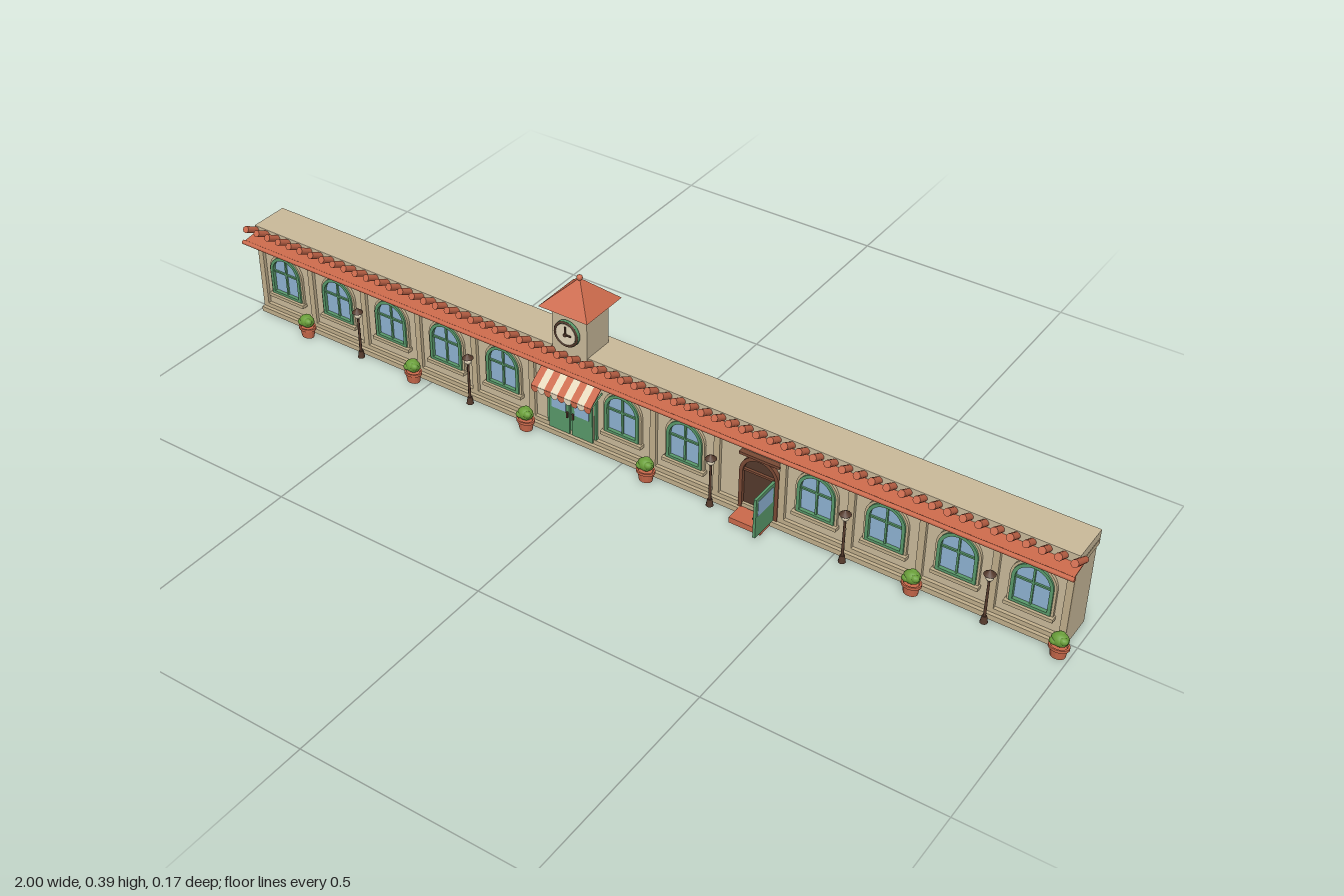
import * as THREE from 'three';

const mat = (name, color) => {
  const m = new THREE.MeshStandardMaterial({ color, side: THREE.DoubleSide });
  m.name = name;
  return m;
};

export function createModel() {
  const stucco = mat('stucco', 0xcbbb9b);
  const trim = mat('trim', 0xc2b08d);
  const terracotta = mat('terracotta', 0xcc6a4c);
  const green = mat('greenPaint', 0x5a9a6b);
  const glass = mat('glass', 0x8fb4d4);
  const brown = mat('darkBrown', 0x553a2c);
  const cream = mat('cream', 0xe6d9bd);
  const leaf = mat('leaf', 0x6a9f3a);
  const wood = mat('wood', 0x7a4a35);

  const root = new THREE.Group();
  root.name = 'arcadeBuilding';

  const add = (parent, name, geo, m, x = 0, y = 0, z = 0) => {
    const mesh = new THREE.Mesh(geo, m);
    mesh.name = name;
    mesh.position.set(x, y, z);
    parent.add(mesh);
    return mesh;
  };
  const group = (name, x = 0, y = 0, z = 0) => {
    const g = new THREE.Group();
    g.name = name;
    g.position.set(x, y, z);
    root.add(g);
    return g;
  };
  // Box given by its limits on each axis
  const box = (parent, name, m, x0, x1, y0, y1, z0, z1) =>
    add(parent, name, new THREE.BoxGeometry(x1 - x0, y1 - y0, z1 - z0), m,
      (x0 + x1) / 2, (y0 + y1) / 2, (z0 + z1) / 2);
  const cyl = (r0, r1, h, n = 16) => new THREE.CylinderGeometry(r0, r1, h, n);

  // Upright outline with a round head
  const arch = (Type, r, y0, spring) => {
    const s = new Type();
    s.moveTo(-r, y0);
    s.lineTo(r, y0);
    s.lineTo(r, spring);
    s.absarc(0, spring, r, 0, Math.PI, false);
    s.lineTo(-r, y0);
    return s;
  };
  const extrude = (shape, depth) =>
    new THREE.ExtrudeGeometry(shape, { depth, bevelEnabled: false, curveSegments: 12 });

  // Main walls
  const L = -0.992, R = 0.979, pitch = 0.1515;
  const walls = group('walls');
  box(walls, 'wall', stucco, L, R, 0, 0.19, -0.074, 0.006);
  box(walls, 'plinth', trim, L, R, 0, 0.012, -0.06, 0.022);
  box(walls, 'baseMoulding', trim, L, R, 0.012, 0.022, -0.06, 0.014);
  box(walls, 'cornice', trim, L - 0.003, R + 0.003, 0.187, 0.199, -0.078, 0.012);
  box(walls, 'corniceNeck', stucco, L, R, 0.198, 0.202, -0.075, 0.01);
  box(walls, 'parapet', stucco, L - 0.003, R + 0.003, 0.201, 0.22, -0.078, 0.012);
  for (let k = -1; k <= 12; k++) {
    const x = Math.min(R - 0.007, Math.max(L + 0.007, -0.84 + k * pitch));
    box(walls, 'pilaster', trim, x - 0.007, x + 0.007, 0.012, 0.187, 0, 0.014);
  }

  // Tiled eave, rising outwards
  const eave = group('eave');
  const beam = add(eave, 'eaveRail', cyl(0.005, 0.005, 1.99, 10), terracotta, -0.005, 0.193, 0.047);
  beam.rotation.z = Math.PI / 2;
  const slab = add(eave, 'eaveSlab', new THREE.BoxGeometry(1.985, 0.003, 0.048), terracotta, -0.005, 0.197, 0.024);
  slab.rotation.x = 0.13;
  const tileGeo = cyl(0.0078, 0.0068, 0.06, 10).rotateX(Math.PI / 2 - 0.48);
  const tiles = 64;
  for (let i = 0; i < tiles; i++)
    add(eave, 'roofTile', tileGeo, terracotta, -0.991 + i * 1.975 / (tiles - 1), 0.2125, 0.0175);

  // Clock tower
  const tower = group('clockTower', -0.133, 0, -0.0225);
  box(tower, 'towerWall', stucco, -0.043, 0.043, 0.2, 0.316, -0.0375, 0.0375);
  box(tower, 'towerTrim', trim, -0.049, 0.049, 0.315, 0.323, -0.0435, 0.0435);
  const roof = new THREE.ConeGeometry(0.06 * Math.SQRT2, 0.057, 4).rotateY(Math.PI / 4).toNonIndexed();
  roof.computeVertexNormals();
  add(tower, 'towerRoof', roof, terracotta, 0, 0.3505, 0);
  add(tower, 'finial', new THREE.SphereGeometry(0.0065, 12, 8), terracotta, 0, 0.38, 0);

  // Clock
  const clock = group('clock', -0.133, 0.271, 0);
  const disc = (r, h) => cyl(r, r, h, 28).rotateX(Math.PI / 2);
  add(clock, 'clockMount', disc(0.012, 0.01), green, 0, 0, 0.018);
  add(clock, 'clockCase', disc(0.03, 0.007), green, 0, 0, 0.0235);
  add(clock, 'clockFace', disc(0.024, 0.002), cream, 0, 0, 0.0275);
  add(clock, 'clockRim', new THREE.TorusGeometry(0.027, 0.003, 6, 28), brown, 0, 0, 0.0265);
  box(clock, 'minuteHand', brown, -0.0017, 0.0017, -0.002, 0.019, 0.028, 0.031);
  box(clock, 'hourHand', brown, -0.002, 0.014, -0.0017, 0.0017, 0.028, 0.031);
  add(clock, 'clockHub', disc(0.004, 0.004), brown, 0, 0, 0.0305);

  // Round-headed windows in all bays but the two doorways
  const frameShape = arch(THREE.Shape, 0.042, 0.06, 0.119);
  frameShape.holes.push(arch(THREE.Path, 0.035, 0.066, 0.119));
  const frameGeo = extrude(frameShape, 0.011);
  const surroundShape = arch(THREE.Shape, 0.047, 0.058, 0.119);
  surroundShape.holes.push(arch(THREE.Path, 0.042, 0.06, 0.119));
  const surroundGeo = extrude(surroundShape, 0.007);
  const paneGeo = extrude(arch(THREE.Shape, 0.036, 0.065, 0.119), 0.003);
  for (let i = 0; i < 13; i++) {
    if (i === 5 || i === 8) continue;
    const w = group('window', -0.916 + i * pitch, 0, 0);
    add(w, 'windowSurround', surroundGeo, trim, 0, 0, 0.005);
    add(w, 'windowFrame', frameGeo, green, 0, 0, 0.005);
    add(w, 'windowGlass', paneGeo, glass, 0, 0, 0.005);
    box(w, 'mullion', green, -0.002, 0.002, 0.065, 0.153, 0.006, 0.012);
    box(w, 'transom', green, -0.036, 0.036, 0.115, 0.119, 0.006, 0.012);
    box(w, 'sill', trim, -0.05, 0.05, 0.05, 0.058, 0, 0.02);
  }

  // Green double door
  const door = group('doubleDoor', -0.133, 0, 0);
  box(door, 'doorFrame', green, -0.062, 0.062, 0.012, 0.136, 0, 0.013);
  for (const s of [-1, 1]) {
    const c = s * 0.029;
    box(door, 'doorLeaf', green, c - 0.026, c + 0.026, 0.014, 0.13, 0.01, 0.017);
    box(door, 'doorGlass', glass, c - 0.018, c + 0.018, 0.068, 0.122, 0.016, 0.0185);
    box(door, 'doorHandle', brown, s * 0.007 - 0.002, s * 0.007 + 0.002, 0.056, 0.07, 0.017, 0.021);
  }

  // Striped awning with scalloped edge
  const awning = group('awning', -0.131, 0, 0);
  const stripes = 9, sw = 0.15 / stripes;
  const scallop = new THREE.CircleGeometry(sw / 2, 10, Math.PI, Math.PI);
  for (let i = 0; i < stripes; i++) {
    const m = i % 2 ? cream : terracotta;
    const x = -0.075 + (i + 0.5) * sw;
    const panel = add(awning, 'awningStripe', new THREE.BoxGeometry(sw, 0.002, 0.05), m, x, 0.1465, 0.032);
    panel.rotation.x = Math.atan2(0.029, 0.04);
    box(awning, 'awningValance', m, x - sw / 2, x + sw / 2, 0.126, 0.133, 0.051, 0.0525);
    add(awning, 'awningScallop', scallop, m, x, 0.126, 0.052);
  }
  for (const x of [-0.073, 0.073]) {
    const curve = new THREE.QuadraticBezierCurve3(
      new THREE.Vector3(x, 0.145, 0.01), new THREE.Vector3(x, 0.138, 0.03), new THREE.Vector3(x, 0.128, 0.051));
    add(awning, 'awningArm', new THREE.TubeGeometry(curve, 8, 0.002, 6), green);
  }

  // Open doorway with its leaf swung outwards
  const entry = group('openDoorway', 0.32, 0, 0);
  const entryFrame = arch(THREE.Shape, 0.045, 0.012, 0.102);
  entryFrame.holes.push(arch(THREE.Path, 0.037, 0.013, 0.102));
  add(entry, 'entryFrame', extrude(entryFrame, 0.013), wood, 0, 0, 0.003);
  add(entry, 'entryInterior', extrude(arch(THREE.Shape, 0.038, 0.012, 0.102), 0.003), brown, 0, 0, 0.005);
  box(entry, 'entryTransom', wood, -0.038, 0.038, 0.104, 0.109, 0.005, 0.014);
  box(entry, 'entryHood', wood, -0.046, 0.046, 0.143, 0.149, 0, 0.018);
  box(entry, 'doorstep', terracotta, -0.04, 0.033, 0, 0.013, 0, 0.058);
  box(entry, 'openLeaf', green, 0.031, 0.037, 0.013, 0.107, 0.014, 0.084);
  box(entry, 'openLeafGlass', glass, 0.0302, 0.0378, 0.063, 0.1, 0.022, 0.077);
  add(entry, 'openLeafKnob', new THREE.SphereGeometry(0.003, 8, 6), brown, 0.029, 0.055, 0.079);

  // Potted shrubs and street lamps on alternate pilasters
  const potGeo = new THREE.LatheGeometry([[0, 0], [0.012, 0], [0.0145, 0.02], [0.0168, 0.02],
    [0.0168, 0.026], [0.0135, 0.026], [0.012, 0.023], [0, 0.023]].map(p => new THREE.Vector2(...p)), 16).toNonIndexed();
  potGeo.computeVertexNormals();
  const bushGeo = new THREE.SphereGeometry(0.0145, 14, 10);
  const lobeGeo = new THREE.SphereGeometry(0.008, 10, 8);
  for (let k = 0; k <= 12; k++) {
    if (k === 5 || k === 8) continue;
    const x = -0.84 + k * pitch;
    if (k % 2 === 0) {
      const p = group('pottedShrub', x, 0, 0.038);
      p.scale.x = 1.25;
      add(p, 'pot', potGeo, terracotta);
      add(p, 'shrub', bushGeo, leaf, 0, 0.039, 0);
      for (const [a, b, c] of [[0.007, 0.043, 0.006], [-0.007, 0.037, 0.007], [0, 0.046, -0.004]])
        add(p, 'shrubLobe', lobeGeo, leaf, a, b, c);
    } else {
      const l = group('streetLamp', x, 0, 0.034);
      add(l, 'lampBase', cyl(0.005, 0.008, 0.016, 10), brown, 0, 0.008, 0);
      add(l, 'lampPole', cyl(0.0025, 0.0032, 0.1, 8), brown, 0, 0.053, 0);
      add(l, 'lampCollar', cyl(0.006, 0.003, 0.004, 10), brown, 0, 0.103, 0);
      add(l, 'lampGlobe', new THREE.SphereGeometry(0.0088, 12, 10), cream, 0, 0.111, 0);
      add(l, 'lampCap', new THREE.ConeGeometry(0.0125, 0.011, 12), brown, 0, 0.1225, 0);
    }
  }
  return root;
}
